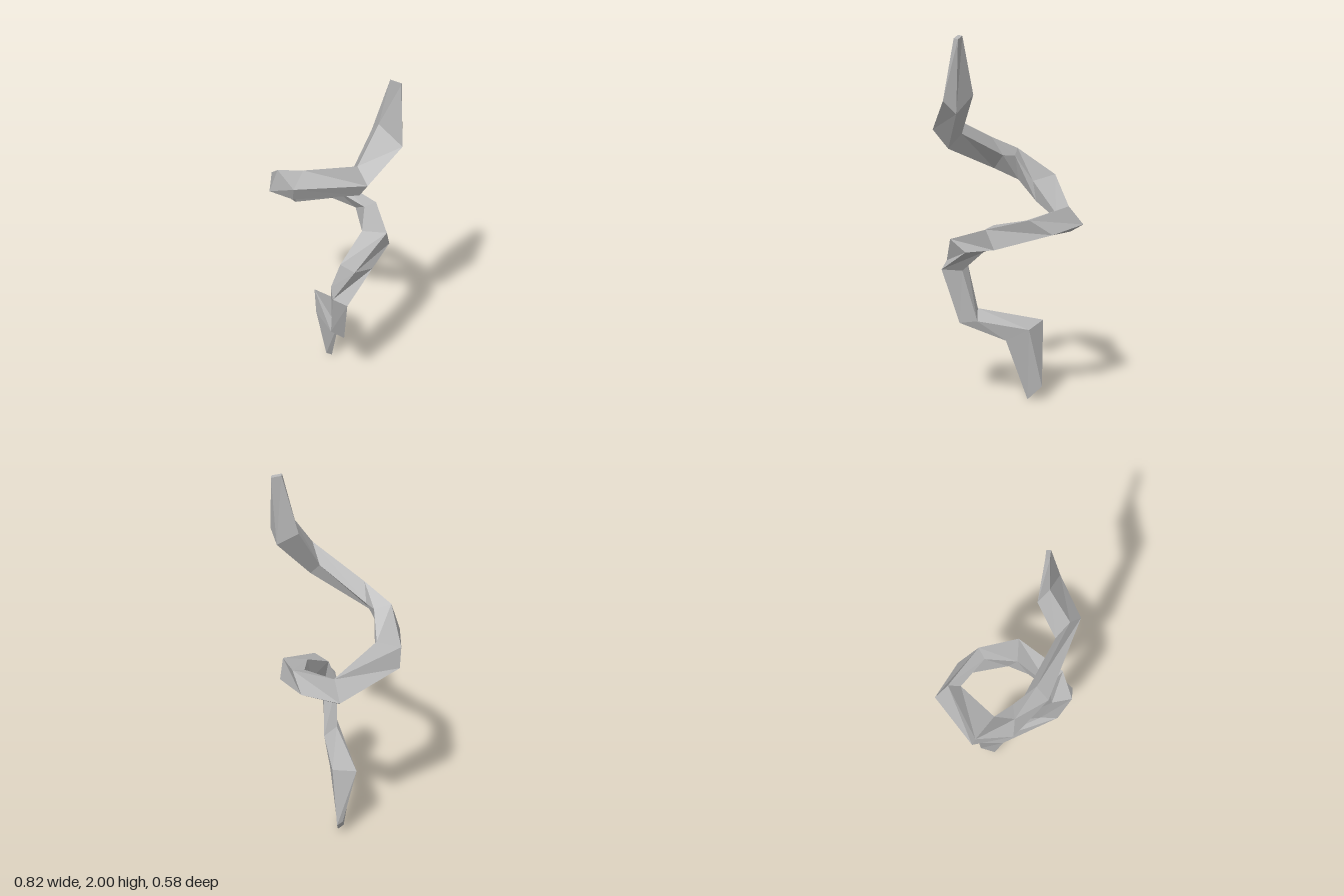
import * as THREE from 'three';

// Cross-sections from the upper tip down to the root:
// centre, then two half-diagonals of a four-cornered section
const SECTIONS = [
  [0.33, 1.99, -0.063, 0.03, -0.005, -0.008, -0.015, 0.01, 0.025],
  [0.312, 1.68, -0.03, 0.097, -0.01, -0.012, -0.03, 0.08, 0.03],
  [0.284, 1.488, 0.134, 0.08, 0.015, 0.014, 0.0, 0.09, 0.008],
  [-0.06, 1.34, 0.235, 0.03, 0.01, 0.055, 0.02, 0.09, -0.02],
  [-0.21, 1.27, 0.215, -0.05, -0.055, 0.047, -0.01, 0.085, 0.02],
  [-0.325, 1.14, 0.11, -0.085, -0.045, 0.0, -0.075, 0.067, 0.018],
  [-0.267, 1.02, -0.205, -0.063, -0.03, -0.037, 0.01, 0.07, -0.005],
  [-0.05, 1.0, -0.24, -0.047, -0.035, -0.055, 0.07, 0.048, -0.01],
  [0.155, 0.95, -0.12, 0.039, -0.052, -0.065, 0.063, 0.052, -0.02],
  [0.207, 0.88, 0.07, 0.05, -0.02, -0.07, 0.062, 0.03, 0.07],
  [0.21, 0.748, 0.197, 0.075, -0.015, 0.01, 0.015, 0.02, 0.058],
  [0.15, 0.47, 0.15, 0.055, -0.035, 0.005, 0.015, 0.02, 0.065],
  [-0.113, 0.385, -0.005, 0.115, -0.045, 0.01, -0.015, -0.018, 0.067],
  [-0.145, 0.05, -0.055, 0.035, -0.05, 0.015, 0.02, -0.03, 0.045],
];

// Skin the sections into a closed faceted tube
function loft(sections) {
  const positions = [];
  const indices = [];
  for (const [x, y, z, ax, ay, az, bx, by, bz] of sections) {
    positions.push(
      x + ax, y + ay, z + az, x + bx, y + by, z + bz,
      x - ax, y - ay, z - az, x - bx, y - by, z - bz
    );
  }
  const last = (sections.length - 1) * 4;
  for (let ring = 0; ring < last; ring += 4) {
    for (let k = 0; k < 4; k++) {
      const p = ring + k;
      const q = ring + ((k + 1) % 4);
      indices.push(p, q, q + 4, p, q + 4, p + 4);
    }
  }
  // End caps
  indices.push(0, 2, 1, 0, 3, 2);
  indices.push(last, last + 1, last + 2, last, last + 2, last + 3);

  const indexed = new THREE.BufferGeometry();
  indexed.setAttribute('position', new THREE.Float32BufferAttribute(positions, 3));
  indexed.setIndex(indices);
  const faceted = indexed.toNonIndexed();
  faceted.computeVertexNormals();
  return faceted;
}

export function createModel() {
  const group = new THREE.Group();
  group.name = 'twistedVine';
  const grey = new THREE.MeshStandardMaterial({ color: 0xb4b4b4 });
  grey.name = 'grey';
  grey.flatShading = true;

  const vine = new THREE.Mesh(loft(SECTIONS), grey);
  vine.name = 'vine';
  group.add(vine);
  return group;
}
